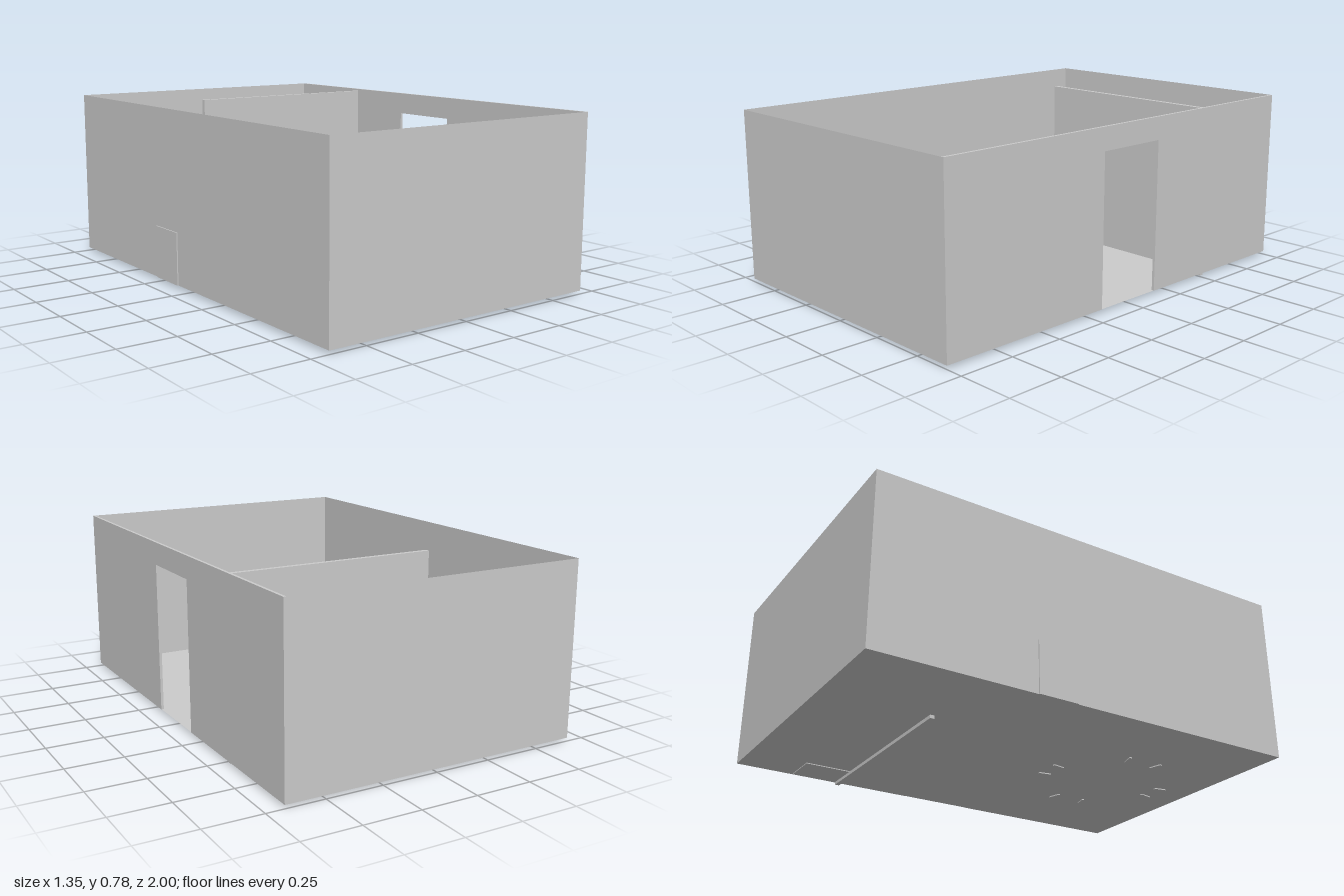
import * as THREE from 'three';

const FLOOR = 0.015, TOP = 0.78, W = 0.67;

export function createModel() {
  const model = new THREE.Group();
  const solid = new THREE.MeshStandardMaterial({ color: 0xcccccc });
  const sheet = new THREE.MeshStandardMaterial({ color: 0xcccccc, side: THREE.DoubleSide });

  const add = (name, geometry, parent = model, material = solid) => {
    const mesh = new THREE.Mesh(geometry, material);
    mesh.name = name;
    parent.add(mesh);
    return mesh;
  };
  // Box given by its lower and upper corners
  const box = (name, [x0, y0, z0], [x1, y1, z1], parent) => {
    const mesh = add(name, new THREE.BoxGeometry(x1 - x0, y1 - y0, z1 - z0), parent);
    mesh.position.set((x0 + x1) / 2, (y0 + y1) / 2, (z0 + z1) / 2);
    return mesh;
  };
  const rect = (path, x0, y0, x1, y1) => {
    path.moveTo(x0, y0);
    path.lineTo(x1, y0);
    path.lineTo(x1, y1);
    path.lineTo(x0, y1);
    path.closePath();
    return path;
  };
  // Outline drawn in (x, -z), raised upward
  const slab = (shape, y, depth, curveSegments = 12) =>
    new THREE.ExtrudeGeometry(shape, { depth, bevelEnabled: false, curveSegments })
      .rotateX(-Math.PI / 2).translate(0, y, 0);

  // Floor and the three sheet walls
  const H = TOP - FLOOR, midY = (TOP + FLOOR) / 2;
  add('floor', new THREE.PlaneGeometry(2 * W, 2).rotateX(-Math.PI / 2).translate(0, FLOOR, 0), model, sheet);
  add('frontWall', new THREE.PlaneGeometry(2 * W, H).translate(0, midY, 1), model, sheet);
  add('backWall', new THREE.PlaneGeometry(2 * W, H).translate(0, midY, -1), model, sheet);
  add('rightWall', new THREE.PlaneGeometry(2, H).rotateY(-Math.PI / 2).translate(-W, midY, 0), model, sheet);

  // Thick wall with the doorway notched out of its foot
  const wall = new THREE.Shape([
    [-1, FLOOR], [-0.17, FLOOR], [-0.17, 0.68], [0.165, 0.68],
    [0.165, FLOOR], [1, FLOOR], [1, TOP], [-1, TOP],
  ].map(([x, y]) => new THREE.Vector2(x, y)));
  add('doorwayWall', new THREE.ExtrudeGeometry(wall, { depth: 0.012, bevelEnabled: false })
    .rotateY(Math.PI / 2).translate(W - 0.01, 0, 0));

  // Partition wall
  box('partition', [-0.275, 0, -0.53], [0.66, 0.77, -0.51]);

  // Counter with three sunken trays
  const counter = new THREE.Group();
  counter.name = 'counter';
  model.add(counter);
  box('counterBase', [-0.675, FLOOR, -0.27], [0.195, 0.21, -0.085], counter);
  const counterTop = rect(new THREE.Shape(), -0.675, 0.085, 0.195, 0.27);
  for (const x of [-0.485, -0.31, -0.138])
    counterTop.holes.push(rect(new THREE.Path(), x, 0.1, x + 0.142, 0.255));
  add('counterTop', slab(counterTop, 0.21, 0.04), counter);

  // Cabinets behind the partition, each with a handle
  for (const [name, z0, z1, y0] of [['nearCabinet', -0.74, -0.533, 0.011], ['farCabinet', -0.999, -0.74, FLOOR]]) {
    const cabinet = new THREE.Group();
    cabinet.name = name;
    model.add(cabinet);
    box('cabinetBody', [0.495, y0, z0], [0.66, 0.45, z1], cabinet);
    box('handleGrip', [0.465, 0.2, z0 + 0.013], [0.473, 0.34, z0 + 0.027], cabinet);
    for (const y of [0.2, 0.33])
      box('handleMount', [0.47, y, z0 + 0.015], [0.495, y + 0.01, z0 + 0.025], cabinet);
  }

  // Round table on a pedestal
  const dining = new THREE.Group();
  dining.name = 'diningSet';
  dining.position.set(-0.01, 0, 0.53);
  model.add(dining);
  const lathe = (points) =>
    new THREE.LatheGeometry(points.map(([r, y]) => new THREE.Vector2(r, y)), 16);
  add('tableTop', lathe([[0, 0.262], [0.18, 0.266], [0.203, 0.278], [0.19, 0.284], [0.1, 0.29], [0, 0.292]]), dining);
  add('tablePedestal', lathe([[0.1, FLOOR], [0.1, 0.025], [0.03, 0.04], [0.025, 0.264]]), dining, sheet);

  // Four curved benches with slab legs at both ends
  const start = 0.235, end = Math.PI / 2 - 0.155, inner = 0.263, outer = 0.333;
  for (const sx of [1, -1]) for (const sz of [1, -1]) {
    const a0 = sx > 0 ? start : Math.PI - end, a1 = sx > 0 ? end : Math.PI - start;
    const from = sz > 0 ? -a1 : a0, to = sz > 0 ? -a0 : a1;
    const seat = new THREE.Shape();
    seat.absarc(0, 0, outer, from, to, false);
    seat.absarc(0, 0, inner, to, from, true);
    const bench = new THREE.Group();
    bench.name = 'bench';
    dining.add(bench);
    add('benchSeat', slab(seat, 0.145, 0.025), bench);
    for (const angle of [from + 0.03, to - 0.03])
      add('benchLeg', new THREE.BoxGeometry(0.058, 0.137, 0.012)
        .translate(0.298, 0.0785, 0).rotateY(angle), bench);
  }
  return model;
}
